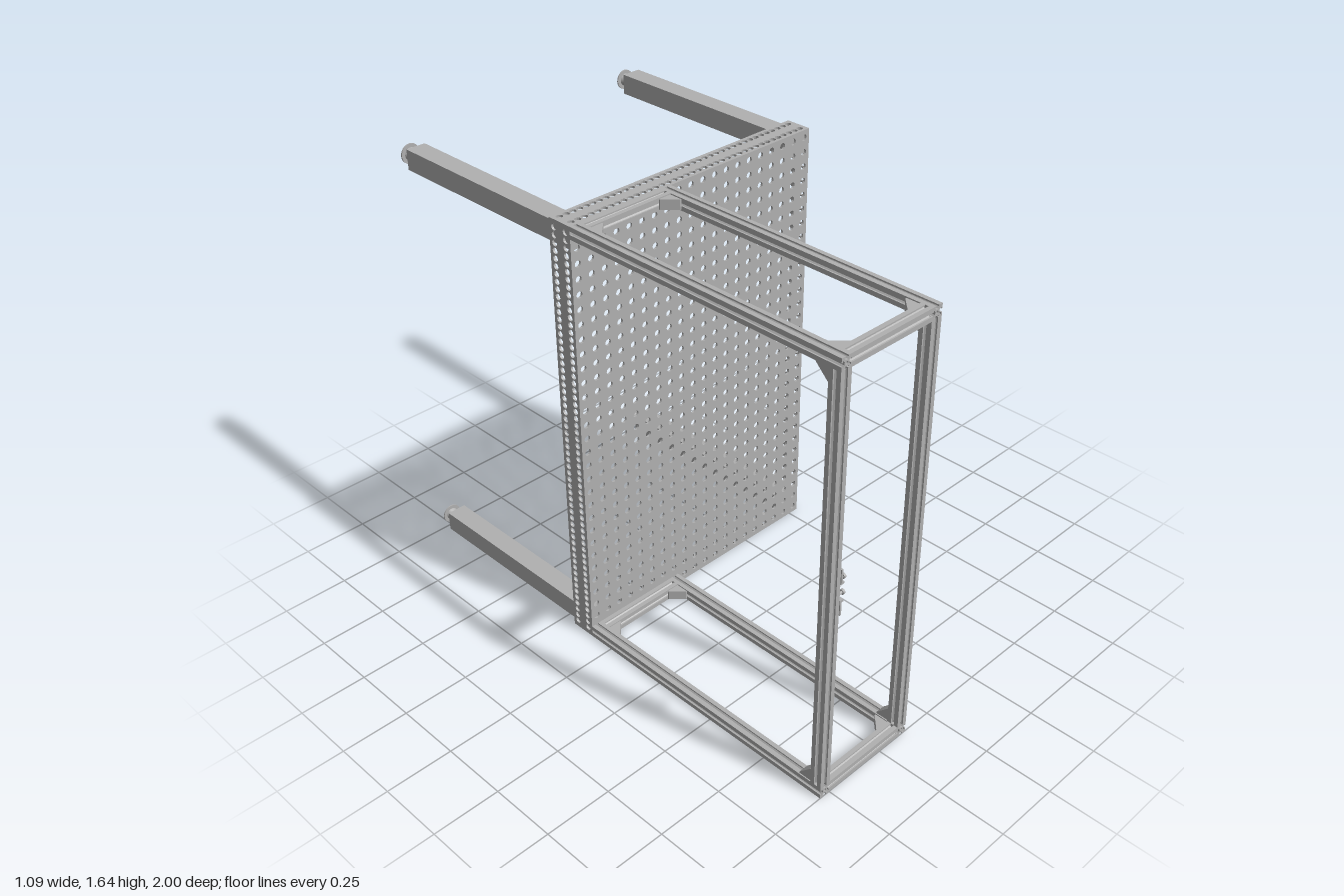
import * as THREE from 'three';

const H = 1.636, W = 0.543;            // overall height, half width
const BACK = -0.198, FACE = -0.099;    // tray depth range
const T = 0.008;                       // sheet thickness
const BAR = 0.044, B = BAR / 2;        // slotted bar size
const PITCH = 0.0545;                  // hole spacing
const XL = -W + B, XR = -0.117 - B;    // side frame bar centres

const steps = (a, b, n) => Array.from({ length: n }, (_, i) => a + (b - a) * i / (n - 1));

// Rotations taking a shape plane to the (z, y) or (x, z) plane
const toZY = g => g.rotateY(-Math.PI / 2);
const toXZ = g => g.rotateX(Math.PI / 2);

// Extrusion centred on its own depth
function extrude(shape, depth) {
  return new THREE.ExtrudeGeometry(shape, { depth, bevelEnabled: false, curveSegments: 6 })
    .translate(0, 0, -depth / 2);
}

function polygon(points) {
  return new THREE.Shape(points.map(p => new THREE.Vector2(p[0], p[1])));
}

function circle(x, y, r) {
  const path = new THREE.Path();
  path.absarc(x, y, r, 0, Math.PI * 2, true);
  return path;
}

// Flat sheet with a grid of round holes
function perforated(u0, u1, v0, v1, us, vs, r) {
  const shape = polygon([[u0, v0], [u1, v0], [u1, v1], [u0, v1]]);
  for (const u of us) for (const v of vs) shape.holes.push(circle(u, v, r));
  return extrude(shape, T);
}

// T-slot profile: one side repeated four times round a centre bore
function slotProfile() {
  const side = [
    [B, -B], [B, -0.006], [B - 0.005, -0.006], [B - 0.005, -0.012], [0.0095, -0.0045],
    [0.0095, 0.0045], [B - 0.005, 0.012], [B - 0.005, 0.006], [B, 0.006],
  ];
  const pts = [];
  for (let i = 0; i < 4; i++) {
    const c = [1, 0, -1, 0][i], s = [0, 1, 0, -1][i];
    for (const [x, y] of side) pts.push([x * c - y * s, x * s + y * c]);
  }
  const shape = polygon(pts);
  shape.holes.push(circle(0, 0, 0.005));
  return shape;
}

export function createModel() {
  const root = new THREE.Group();
  root.name = 'perforatedTableWithSideFrame';
  const metal = new THREE.MeshStandardMaterial({ color: 0xb0b0b0 });
  metal.name = 'greyMetal';

  const group = name => {
    const g = new THREE.Group();
    g.name = name;
    root.add(g);
    return g;
  };
  const add = (parent, name, geometry, x = 0, y = 0, z = 0) => {
    const mesh = new THREE.Mesh(geometry, metal);
    mesh.name = name;
    mesh.position.set(x, y, z);
    parent.add(mesh);
    return mesh;
  };

  // Perforated tray, open at the back
  const tray = group('tray');
  const cols = steps(-9.5 * PITCH, 9.5 * PITCH, 20);
  const rows = steps(H / 2 - 14.5 * PITCH, H / 2 + 14.5 * PITCH, 30);
  const mid = (BACK + FACE) / 2;
  const depthHoles = [mid - PITCH / 2, mid + PITCH / 2];
  add(tray, 'frontPanel', perforated(-W, W, 0, H, cols, rows, 0.0122), 0, 0, FACE - T / 2);

  const sideHoles = steps(rows[0], rows[29], 59);
  const edgeHoles = steps(cols[0], cols[19], 39);
  for (const s of [-1, 1]) {
    add(tray, 'sideFlange',
      toZY(perforated(BACK, FACE - T, 0, H, depthHoles, sideHoles, 0.0115)), s * (W - T / 2));
    add(tray, s > 0 ? 'topFlange' : 'bottomFlange',
      toXZ(perforated(-W + T, W - T, BACK, FACE - T, edgeHoles, depthHoles, 0.0115)),
      0, H / 2 + s * (H / 2 - T / 2));
  }

  // Legs with flared round feet
  const legs = group('legs');
  const legEnd = -0.962, legStart = FACE - T;
  for (const x of [-0.494, 0.494]) {
    for (const y of [0.052, H - 0.052]) {
      add(legs, 'leg', new THREE.BoxGeometry(0.075, 0.075, legStart - legEnd), x, y, (legStart + legEnd) / 2);
      add(legs, 'footCone',
        new THREE.CylinderGeometry(0.008, 0.024, 0.034, 20).rotateX(Math.PI / 2), x, y, legEnd - 0.017);
      add(legs, 'footPad',
        new THREE.CylinderGeometry(0.037, 0.037, 0.005, 24).rotateX(Math.PI / 2), x, y, -0.9975);
    }
  }

  // Side frame of slotted bars
  const frame = group('sideFrame');
  const profile = slotProfile();
  const long = 1 - FACE, across = XR - XL - BAR;
  for (const y of [B, H - B]) {
    for (const x of [XL, XR]) add(frame, 'longBar', extrude(profile, long), x, y, (1 + FACE) / 2);
    for (const z of [1 - B, FACE + B]) {
      add(frame, 'crossBar', extrude(profile, across).rotateY(Math.PI / 2), (XL + XR) / 2, y, z);
    }
  }
  for (const x of [XL, XR]) {
    add(frame, 'post', extrude(profile, H - 2 * BAR).rotateX(Math.PI / 2), x, H / 2, 1 - B);
  }

  // Corner gussets
  const gusset = (su, sv) => extrude(polygon([
    [0, 0], [su * 0.05, 0], [su * 0.05, sv * 0.005], [su * 0.005, sv * 0.05], [0, sv * 0.05],
  ]), 0.036);
  for (const top of [false, true]) {
    const y = top ? H - B : B;
    for (const [x, sx] of [[XL + B, 1], [XR - B, -1]]) {
      for (const [z, sz] of [[FACE + BAR, 1], [1 - BAR, -1]]) {
        add(frame, 'flatGusset', toXZ(gusset(sx, sz)), x, y, z);
      }
    }
    for (const x of [XL, XR]) {
      add(frame, 'uprightGusset', toZY(gusset(-1, top ? -1 : 1)), x, top ? H - BAR : BAR, 1 - BAR);
    }
  }

  // Latch on the inner face of the outer post
  const latch = group('latch');
  const inner = XL + B, zc = 1 - B;
  for (const s of [-1, 1]) {
    const y = 0.819 + s * 0.03;
    add(latch, 'latchLeaf', new THREE.BoxGeometry(0.007, 0.055, 0.05), inner + 0.0035, y + s * 0.0285, zc);
    add(latch, 'latchLip', new THREE.BoxGeometry(0.014, 0.008, 0.05), inner + 0.007, y + s * 0.004, zc);
    add(latch, 'latchPin',
      new THREE.CylinderGeometry(0.005, 0.005, 0.04, 12).rotateZ(Math.PI / 2), inner + 0.02, y, zc);
    add(latch, 'pinHead',
      new THREE.CylinderGeometry(0.009, 0.009, 0.008, 16).rotateZ(Math.PI / 2), inner + 0.038, y, zc);
  }

  return root;
}
